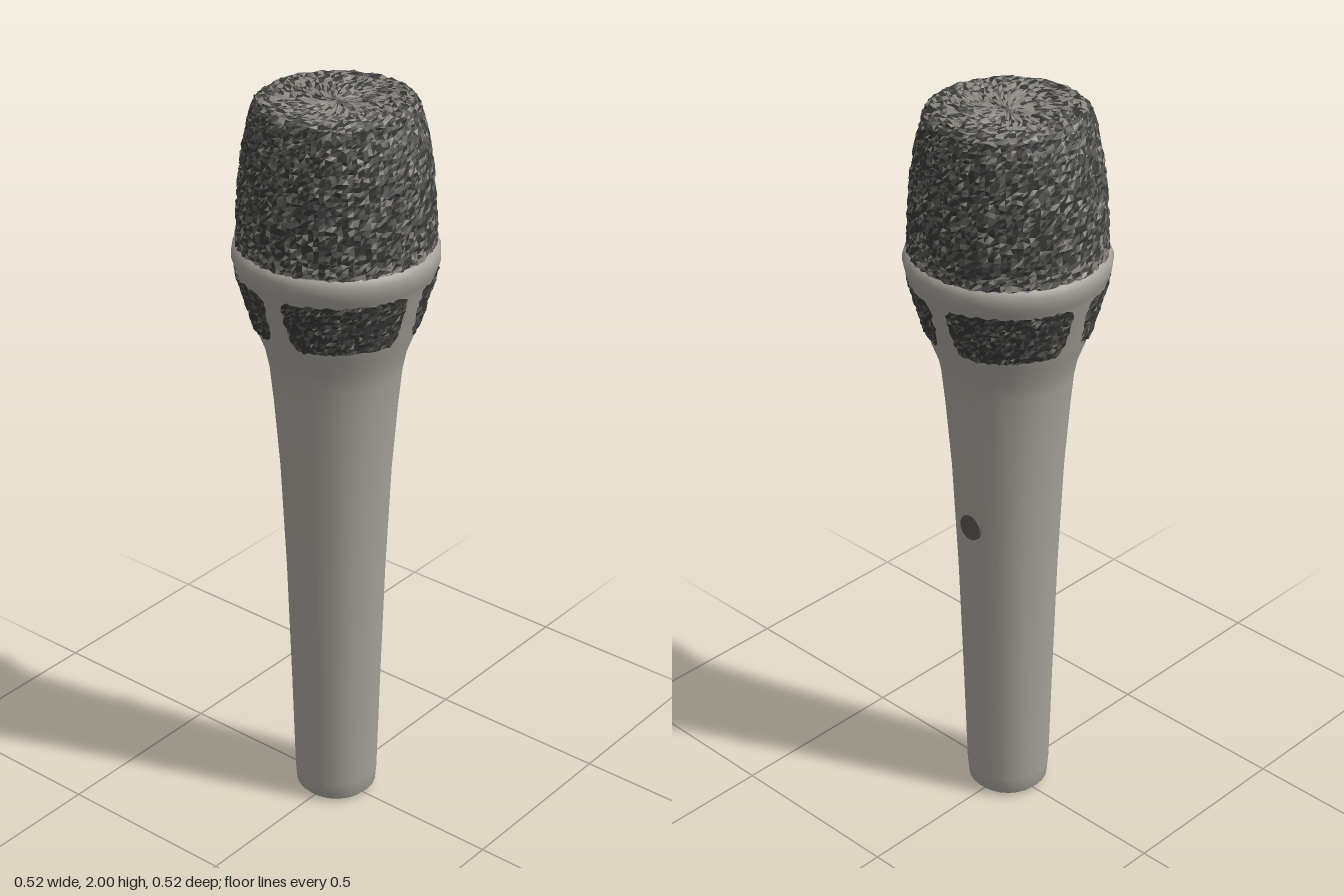
import * as THREE from 'three';

const bodyGrey = new THREE.MeshStandardMaterial({ color: 0xa5a19a });
bodyGrey.name = 'body grey';
const wireDark = new THREE.MeshStandardMaterial({ color: 0x383837, side: THREE.DoubleSide });
wireDark.name = 'dark wire';
const wireMid = new THREE.MeshStandardMaterial({ color: 0x585754, side: THREE.DoubleSide });
wireMid.name = 'mid wire';
const wireLight = new THREE.MeshStandardMaterial({ color: 0x8a8781, side: THREE.DoubleSide });
wireLight.name = 'light wire';

// Small seeded generator for the rough weave
let seed = 7;
const random = () => {
  seed = (seed * 1664525 + 1013904223) % 4294967296;
  return seed / 4294967296;
};

function lathe(name, profile, material, segments = 24) {
  const points = profile.map(([r, y]) => new THREE.Vector2(r, y));
  const mesh = new THREE.Mesh(new THREE.LatheGeometry(points, segments), material);
  mesh.name = name;
  return mesh;
}

// Rough woven surface: a jittered grid whose facets are shared out between wire colours.
// at(u, v) gives [angle, radius, height]; pick(v) gives a colour index 0..2.
function weave(name, at, nu, nv, closed, jitter, pick) {
  const grid = [];
  for (let j = 0; j <= nv; j++) {
    const row = [];
    for (let i = 0; i <= nu; i++) {
      if (closed && i === nu) { row.push(row[0]); continue; }
      const [a, r, y] = at((i + (random() - 0.5) * 0.5) / nu, j / nv);
      const rr = Math.max(0, r + (random() - 0.5) * jitter);
      row.push([rr * Math.sin(a), y + (random() - 0.5) * jitter, rr * Math.cos(a)]);
    }
    grid.push(row);
  }
  const buckets = [[], [], []];
  for (let j = 0; j < nv; j++) {
    for (let i = 0; i < nu; i++) {
      const a = grid[j][i], b = grid[j][i + 1], c = grid[j + 1][i + 1], d = grid[j + 1][i];
      buckets[pick(j / nv)].push(...a, ...b, ...c);
      buckets[pick(j / nv)].push(...a, ...c, ...d);
    }
  }
  const group = new THREE.Group();
  group.name = name;
  [wireDark, wireMid, wireLight].forEach((material, k) => {
    const g = new THREE.BufferGeometry();
    g.setAttribute('position', new THREE.Float32BufferAttribute(buckets[k], 3));
    g.computeVertexNormals();
    const mesh = new THREE.Mesh(g, material);
    mesh.name = name + ' ' + material.name;
    group.add(mesh);
  });
  return group;
}

// Linear lookup along a profile of [r, y] points
function along(profile, t) {
  const f = Math.min(t, 0.9999) * (profile.length - 1);
  const i = Math.floor(f), k = f - i;
  return [0, 1].map(n => profile[i][n] * (1 - k) + profile[i + 1][n] * k);
}

export function createModel() {
  const model = new THREE.Group();
  model.name = 'microphone';

  // Tapered handle that flares into the collar
  model.add(lathe('handle', [
    [0, 0], [0.095, 0.003], [0.107, 0.015], [0.111, 0.06], [0.119, 0.35], [0.13, 0.7],
    [0.144, 1.0], [0.158, 1.18], [0.168, 1.28], [0.178, 1.33], [0.197, 1.38], [0.205, 1.41],
    [0.226, 1.48], [0.247, 1.55],
  ], bodyGrey));

  // Ring between the vents and the head
  model.add(lathe('collarRing', [
    [0.245, 1.545], [0.253, 1.565], [0.259, 1.585], [0.259, 1.605], [0.252, 1.62], [0.236, 1.628],
  ], bodyGrey));

  // Wire head: sides, rounded shoulder, and slightly dished top
  const side = [[0.247, 1.615], [0.246, 1.67], [0.242, 1.74], [0.236, 1.81], [0.227, 1.87], [0.215, 1.93], [0.2, 1.978]];
  const top = [[0.2, 1.978], [0.18, 1.993], [0.15, 1.993], [0.11, 1.987], [0.06, 1.982], [0, 1.98]];
  const mix = (light, mid) => {
    const n = random();
    return n < light ? 2 : n < light + mid ? 1 : 0;
  };
  model.add(weave('headGrille', (u, v) => [u * Math.PI * 2, ...along(side, v)], 110, 34, true, 0.008,
    v => mix(v < 0.1 ? 0.35 : 0.13, 0.38)));
  model.add(weave('headTop', (u, v) => [u * Math.PI * 2, ...along(top, v)], 72, 14, true, 0.008,
    v => mix(0.2 + 0.65 * v, 0.3 * (1 - v))));

  // Four round-cornered vents with posts at front, back and sides
  for (let k = 0; k < 4; k++) {
    const centre = Math.PI / 4 + k * Math.PI / 2;
    model.add(weave('vent' + (k + 1), (u, v) => {
      const corner = Math.pow(Math.abs(2 * v - 1), 6) * 0.12;
      const half = (0.63 + 0.06 * v) * (1 - corner);
      return [centre + (2 * u - 1) * half, 0.211 + 0.041 * v, 1.408 + 0.144 * v];
    }, 26, 14, false, 0.006, () => mix(0.04, 0.3)));
  }

  // Small switch disc on the back of the handle
  const button = new THREE.Mesh(new THREE.CylinderGeometry(0.035, 0.035, 0.008, 16), wireMid);
  button.name = 'switch';
  button.rotation.x = -Math.PI / 2 + 0.04;
  button.position.set(0, 0.87, -0.137);
  model.add(button);

  return model;
}
